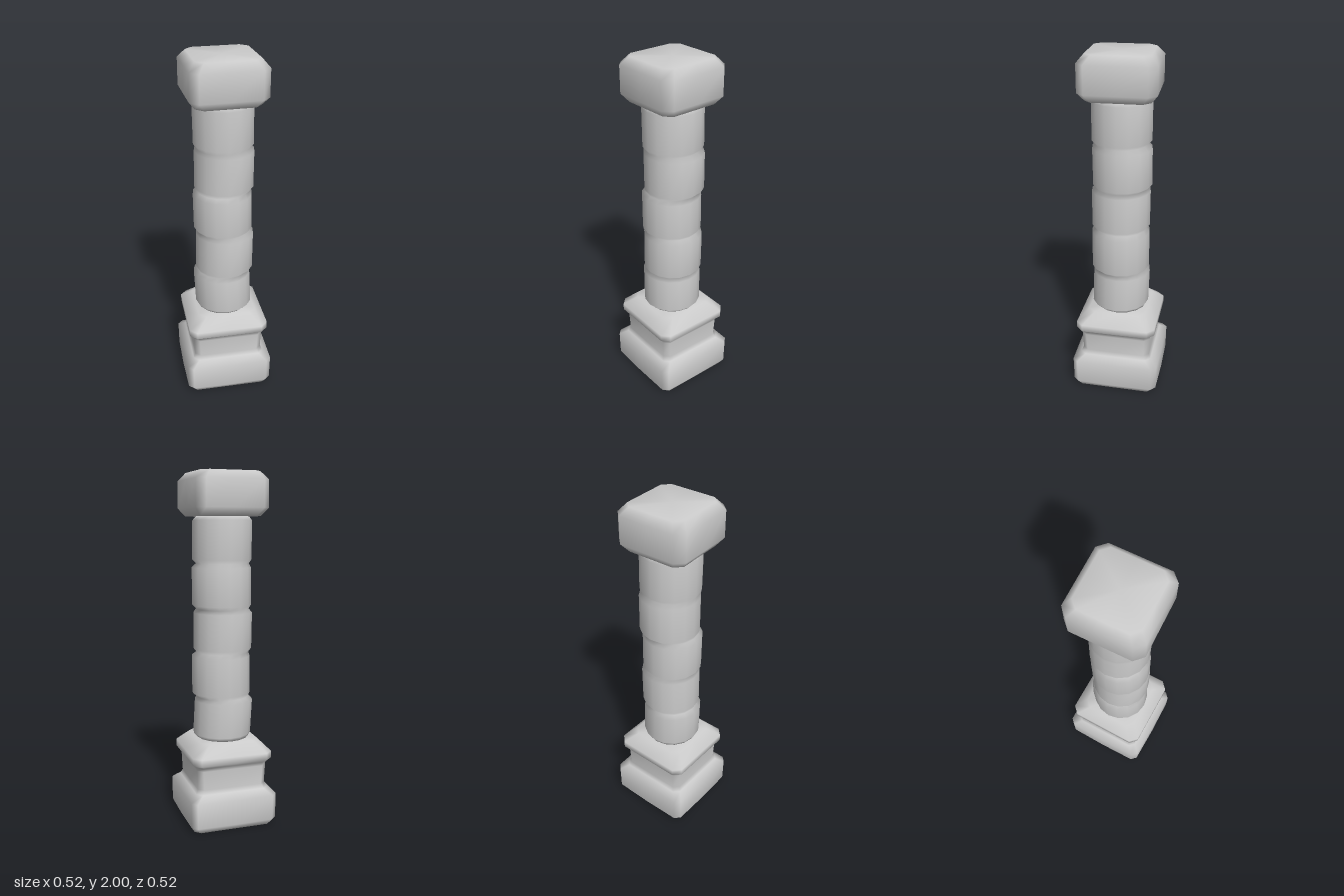
import * as THREE from 'three';

const material = new THREE.MeshStandardMaterial({ color: 0xcccccc, side: THREE.DoubleSide });

// Square outline with cut corners and a slight bulge mid-side.
function squareOutline(half, cut, bulge) {
  const points = [];
  const side = [[half, cut - half], [half + bulge, 0], [half, half - cut]];
  for (let k = 0; k < 4; k++) {
    for (const [x, z] of side) {
      const c = Math.round(Math.cos(k * Math.PI / 2));
      const s = Math.round(Math.sin(k * Math.PI / 2));
      points.push([x * c - z * s, x * s + z * c]);
    }
  }
  return points;
}

function roundOutline(radius, sides) {
  return Array.from({ length: sides }, (_, i) => {
    const a = (i / sides) * Math.PI * 2;
    return [radius * Math.cos(a), radius * Math.sin(a)];
  });
}

// Closed, smoothly shaded skin through rings of { y, outline, dx, dz }.
function loft(name, rings) {
  const n = rings[0].outline.length;
  const positions = [];
  const index = [];
  for (const { y, outline, dx = 0, dz = 0 } of rings) {
    for (const [x, z] of outline) positions.push(x + dx, y, z + dz);
  }
  for (let r = 0; r < rings.length - 1; r++) {
    for (let i = 0; i < n; i++) {
      const a = r * n + i;
      const b = r * n + (i + 1) % n;
      index.push(a, a + n, b, b, a + n, b + n);
    }
  }
  const last = rings.length - 1;
  const centre = rings.length * n;
  for (const r of [0, last]) {
    const { y, dx = 0, dz = 0 } = rings[r];
    positions.push(dx, y, dz);
  }
  for (let i = 0; i < n; i++) {
    const j = (i + 1) % n;
    index.push(centre, i, j, centre + 1, last * n + j, last * n + i);
  }
  const geometry = new THREE.BufferGeometry();
  geometry.setAttribute('position', new THREE.Float32BufferAttribute(positions, 3));
  geometry.setIndex(index);
  geometry.computeVertexNormals();
  const mesh = new THREE.Mesh(geometry, material);
  mesh.name = name;
  return mesh;
}

// Rows are [height, half width, corner cut, bulge].
const squareBlock = (name, rows) =>
  loft(name, rows.map(([y, half, cut, bulge = 0]) => ({ y, outline: squareOutline(half, cut, bulge) })));

export function createModel() {
  const model = new THREE.Group();
  model.name = 'column';

  // Pedestal: plinth, waist and upper moulding
  model.add(squareBlock('pedestal', [
    [0, 0.23, 0.03],
    [0.035, 0.252, 0.03, 0.004],
    [0.18, 0.254, 0.03, 0.004],
    [0.215, 0.212, 0.03],
    [0.24, 0.2, 0.03],
    [0.35, 0.205, 0.03],
    [0.37, 0.208, 0.035],
    [0.39, 0.233, 0.04],
    [0.43, 0.233, 0.04],
    [0.495, 0.17, 0.04],
  ]));

  // Shaft: stacked drums, each a little off centre, with grooves between
  const seams = [0.495, 0.735, 0.995, 1.245, 1.5, 1.76];
  const drums = [
    { bottom: [0.003, 0.004], top: [-0.006, -0.001] },
    { bottom: [0.008, 0.003], top: [0.01, 0.002] },
    { bottom: [0, 0.003], top: [-0.003, 0.002] },
    { bottom: [0.008, -0.008], top: [0.009, -0.006] },
    { bottom: [0.005, -0.003], top: [0.002, -0.003] },
  ];
  const rings = [{ y: seams[0], outline: roundOutline(0.152, 16) }];
  drums.forEach(({ bottom, top }, i) => {
    const outline = roundOutline(0.168, 16);
    rings.push({ y: seams[i] + 0.022, outline, dx: bottom[0], dz: bottom[1] });
    rings.push({ y: seams[i + 1] - 0.022, outline, dx: top[0], dz: top[1] });
    rings.push({ y: seams[i + 1], outline: roundOutline(0.15, 16) });
  });
  model.add(loft('shaft', rings));

  // Capital: bevelled block, twisted slightly
  const capital = squareBlock('capital', [
    [1.76, 0.175, 0.04],
    [1.805, 0.21, 0.045],
    [1.955, 0.21, 0.045],
    [2, 0.172, 0.04],
  ]);
  capital.rotation.y = 0.04;
  model.add(capital);

  return model;
}
